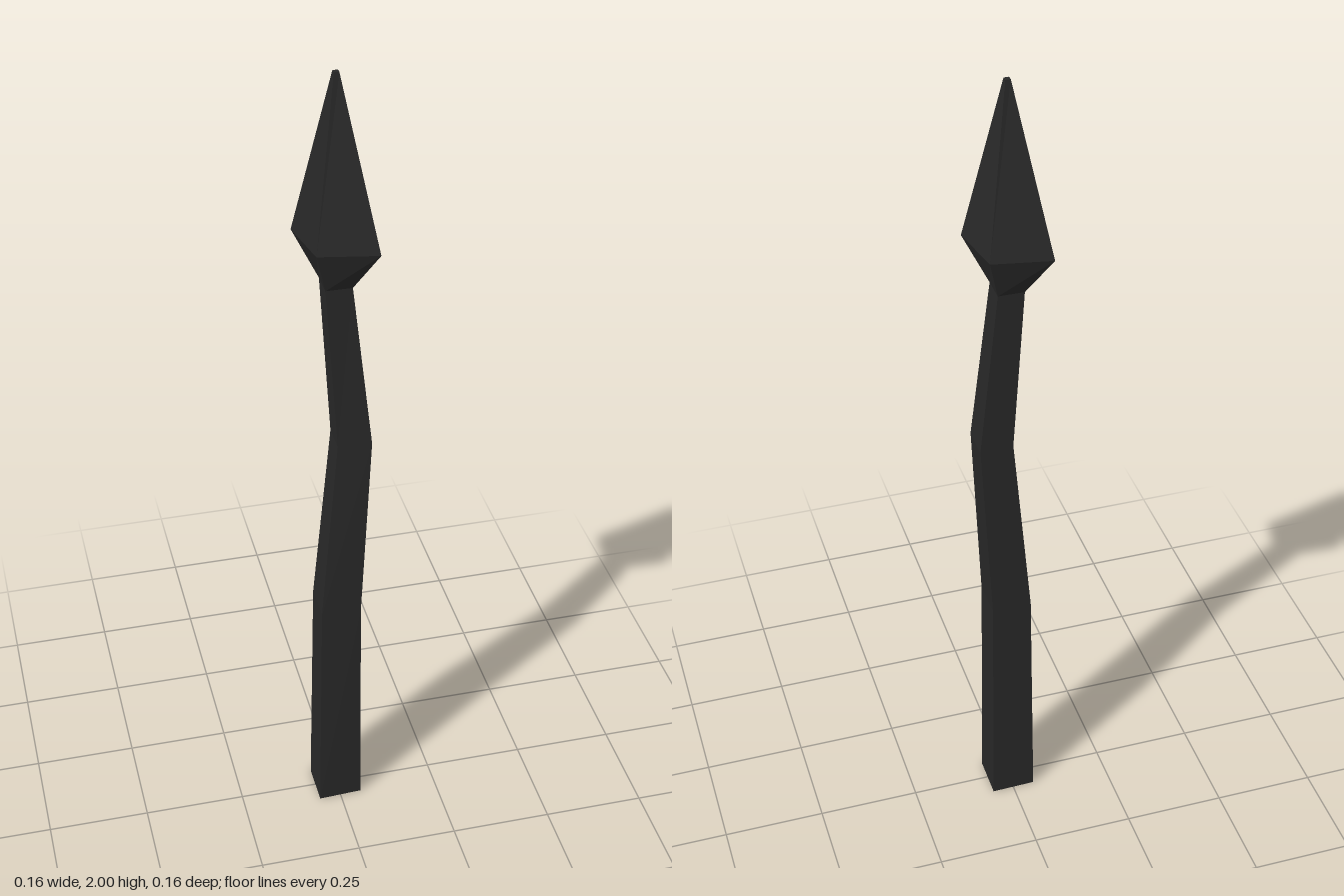
import * as THREE from 'three';

const material = new THREE.MeshStandardMaterial({ color: 0x282828, flatShading: true });

// Joins four-cornered rings, listed bottom to top, into a closed faceted solid.
// Corner order: front -x, front +x, back +x, back -x.
function loft(name, rings) {
  const positions = [];
  const index = [];
  for (const { y, corners } of rings) {
    for (const [x, z] of corners) positions.push(x, y, z);
  }
  for (let r = 0; r < rings.length - 1; r++) {
    for (let i = 0; i < 4; i++) {
      const a = r * 4 + i;
      const b = r * 4 + ((i + 1) % 4);
      index.push(a, b, b + 4, a, b + 4, a + 4);
    }
  }
  const t = (rings.length - 1) * 4;
  index.push(0, 2, 1, 0, 3, 2); // bottom cap
  index.push(t, t + 1, t + 2, t, t + 2, t + 3); // top cap

  const indexed = new THREE.BufferGeometry();
  indexed.setAttribute('position', new THREE.Float32BufferAttribute(positions, 3));
  indexed.setIndex(index);
  const geometry = indexed.toNonIndexed();
  geometry.computeVertexNormals();
  const mesh = new THREE.Mesh(geometry, material);
  mesh.name = name;
  return mesh;
}

const square = (s) => [[-s, s], [s, s], [s, -s], [-s, -s]];

export function createModel() {
  const group = new THREE.Group();
  group.name = 'spikedPost';

  // Crooked tapering shaft
  const neck = { y: 1.5, corners: square(0.031) };
  group.add(loft('shaft', [
    { y: 0, corners: [[-0.055, 0.055], [0.054, 0.05], [0.054, -0.055], [-0.055, -0.053]] },
    { y: 0.61, corners: [[-0.047, 0.052], [0.05, 0.053], [0.05, -0.045], [-0.047, -0.043]] },
    { y: 1.09, corners: [[-0.005, 0.04], [0.075, 0.046], [0.075, -0.035], [-0.005, -0.032]] },
    neck,
  ]));

  // Diamond-shaped spear head with a tiny blunt tip
  group.add(loft('spearHead', [
    neck,
    { y: 1.6, corners: [[-0.056, 0.054], [0.081, 0.081], [0.056, -0.057], [-0.082, -0.083]] },
    { y: 2, corners: square(0.006) },
  ]));

  return group;
}
